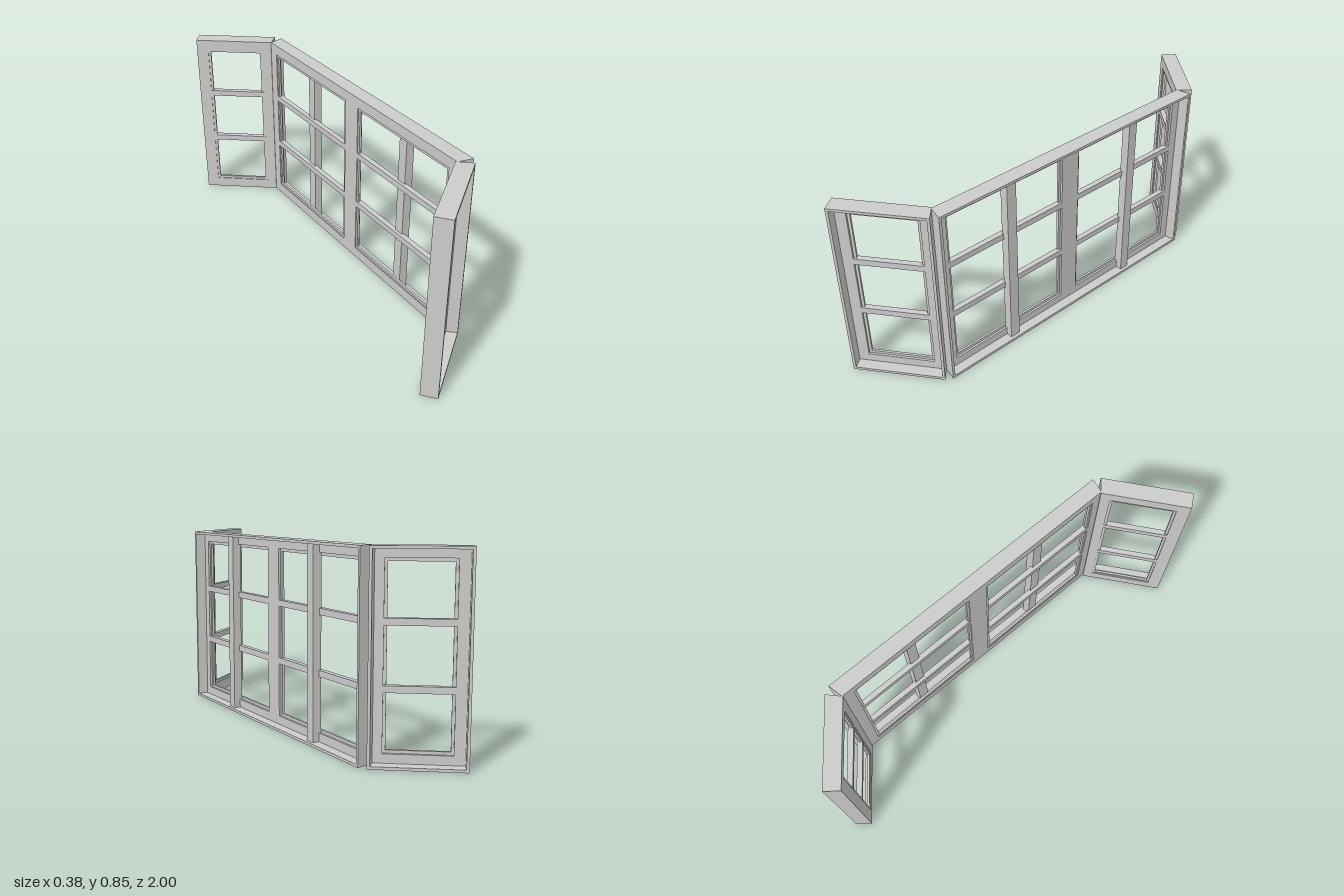
import * as THREE from 'three';

const H = 0.853;          // overall height
const LIP = 0.012;        // thickness of the outer casing
const OPEN_Y = [0.05, 0.805];
const BARS_Y = [[0.29, 0.318], [0.55, 0.578]];

const material = new THREE.MeshStandardMaterial({ color: 0xcccccc, flatShading: true });

function add(group, name, geometry) {
  const mesh = new THREE.Mesh(geometry, material);
  mesh.name = name;
  group.add(mesh);
}

// Box from its limits: u along the panel, y up, d = depth inward from the outer face
function block(group, name, [u0, u1], [y0, y1], [d0, d1]) {
  const g = new THREE.BoxGeometry(u1 - u0, y1 - y0, d1 - d0);
  g.translate((u0 + u1) / 2, (y0 + y1) / 2, -(d0 + d1) / 2);
  add(group, name, g);
}

// Upright prism over a plan outline of [u, depth] points
function prism(group, name, plan, y0, y1) {
  const shape = new THREE.Shape(plan.map(([u, d]) => new THREE.Vector2(u, d)));
  const g = new THREE.ExtrudeGeometry(shape, { depth: y1 - y0, bevelEnabled: false });
  g.rotateX(-Math.PI / 2);
  g.translate(0, y0, 0);
  add(group, name, g);
}

function rectPath(Type, u0, u1, y0, y1) {
  const p = new Type();
  p.moveTo(u0, y0);
  p.lineTo(u1, y0);
  p.lineTo(u1, y1);
  p.lineTo(u0, y1);
  p.closePath();
  return p;
}

// Flat rectangular plate with rectangular openings
function plate(group, name, outer, holes, [d0, d1]) {
  const shape = rectPath(THREE.Shape, ...outer);
  for (const h of holes) shape.holes.push(rectPath(THREE.Path, ...h));
  const g = new THREE.ExtrudeGeometry(shape, { depth: d1 - d0, bevelEnabled: false });
  g.translate(0, 0, -d1);
  add(group, name, g);
}

// One window panel; its outer bottom corner is the local origin
function windowPanel({ name, length, depth, mitre, openings, mullions = [] }) {
  const panel = new THREE.Group();
  panel.name = name;
  const [m0, m1] = mitre;
  const boardFront = depth - 0.025;

  // Casing: sill, head and two jambs with mitred ends
  const plan = [[0, 0], [length, 0], [length - m1, depth], [m0, depth]];
  prism(panel, 'sill', plan, 0, LIP);
  prism(panel, 'head', plan, H - LIP, H);
  prism(panel, 'startJamb', [[0, 0], [LIP, 0], [m0 + LIP, depth], [m0, depth]], LIP, H - LIP);
  prism(panel, 'endJamb', [[length - LIP, 0], [length, 0], [length - m1, depth],
    [length - m1 - LIP, depth]], LIP, H - LIP);

  // Recessed face frame
  plate(panel, 'faceFrame', [m0 + LIP / 2, length - m1 - LIP / 2, LIP, H - LIP],
    openings.map(([a, b]) => [a, b, ...OPEN_Y]), [boardFront, depth]);

  for (const [a, b] of openings) {
    // Glazing stop inside the opening
    plate(panel, 'glazingStop', [a, b, ...OPEN_Y],
      [[a + 0.012, b - 0.012, OPEN_Y[0] + 0.013, OPEN_Y[1] - 0.013]],
      [boardFront + 0.01, depth - 0.004]);
    // Horizontal glazing bars
    for (const y of BARS_Y) block(panel, 'glazingBar', [a, b], y, [boardFront, depth]);
  }
  // Deep vertical mullions standing proud of the bars
  for (const u of mullions) {
    block(panel, 'mullion', u, [LIP, H - LIP], [boardFront - 0.03, depth - 0.015]);
  }
  return panel;
}

export function createModel() {
  const model = new THREE.Group();
  model.name = 'bayWindow';
  const angle = 0.67;

  const front = windowPanel({
    name: 'frontSidePanel', length: 0.409, depth: 0.075, mitre: [0, 0.013],
    openings: [[0.058, 0.352]],
  });
  front.position.set(-0.15, 0, 1);
  front.rotation.y = angle;

  const centre = windowPanel({
    name: 'centrePanel', length: 1.445, depth: 0.07, mitre: [0.015, 0.015],
    openings: [[0.06, 0.675], [0.77, 1.378]],
    mullions: [[0.342, 0.39], [1.053, 1.1]],
  });
  centre.position.set(0.188, 0, 0.717);
  centre.rotation.y = Math.PI / 2;

  const back = windowPanel({
    name: 'backSidePanel', length: 0.388, depth: 0.073, mitre: [0.011, 0],
    openings: [[0.057, 0.331]],
  });
  back.position.set(0.17, 0, -0.76);
  back.rotation.y = Math.PI - angle;

  model.add(front, centre, back);
  return model;
}
